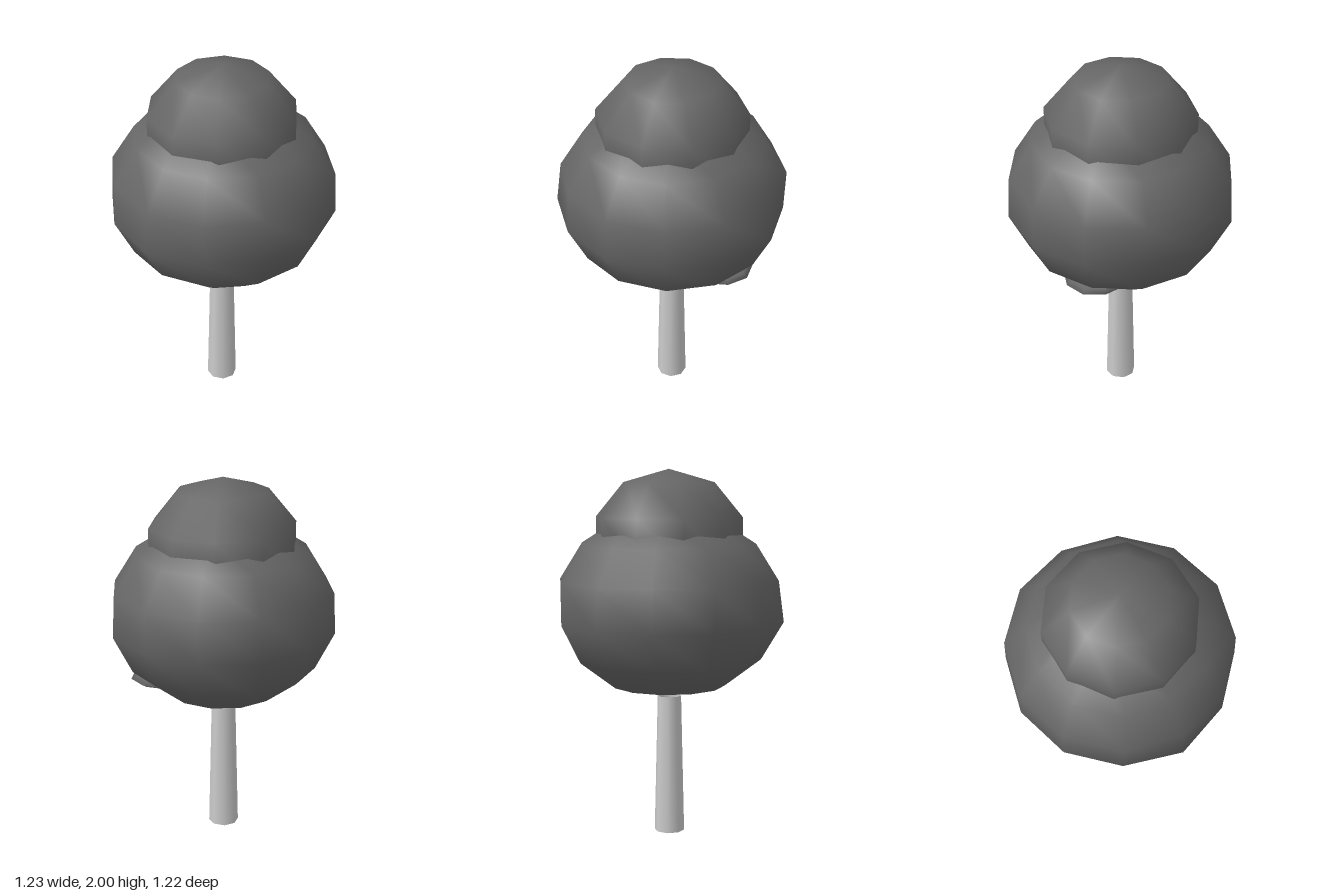
import * as THREE from 'three';

export function createModel() {
  const tree = new THREE.Group();
  tree.name = 'tree';
  const bark = new THREE.MeshStandardMaterial({ color: 0xcccccc, side: THREE.DoubleSide });
  const leaves = new THREE.MeshStandardMaterial({ color: 0x666666, side: THREE.DoubleSide });

  function add(name, geometry, material, x, y, z) {
    const mesh = new THREE.Mesh(geometry, material);
    mesh.name = name;
    mesh.position.set(x, y, z);
    tree.add(mesh);
    return mesh;
  }

  // Tapered hollow trunk
  add('trunk', new THREE.CylinderGeometry(0.065, 0.083, 0.765, 8, 1, true), bark, 0.012, 0.3825, 0);

  // Squashed lower crown, left open underneath
  const lower = new THREE.SphereGeometry(0.62, 12, 6, 0, Math.PI * 2, 0, Math.PI * 5 / 6);
  lower.scale(1, 0.515 / 0.62, 1);
  const p = lower.attributes.position;
  // Lean everything but the two side tips slightly to one side
  for (let i = 0; i < p.count; i++) {
    if (Math.abs(p.getX(i)) < 0.6) p.setX(i, p.getX(i) + 0.018);
  }
  add('lowerCrown', lower, leaves, 0, 1.272, 0);

  // Smaller upper crown
  const upper = new THREE.SphereGeometry(0.42, 10, 5);
  upper.scale(1, 0.37 / 0.42, 1);
  add('upperCrown', upper, leaves, 0.015, 1.63, 0);

  // Small flat tuft that just pokes through the lower crown
  const tuft = new THREE.SphereGeometry(0.22, 10, 6);
  tuft.scale(1, 0.15, 0.85);
  add('innerTuft', tuft, leaves, 0.25, 0.92, 0.17).rotation.y = -0.6;

  return tree;
}
